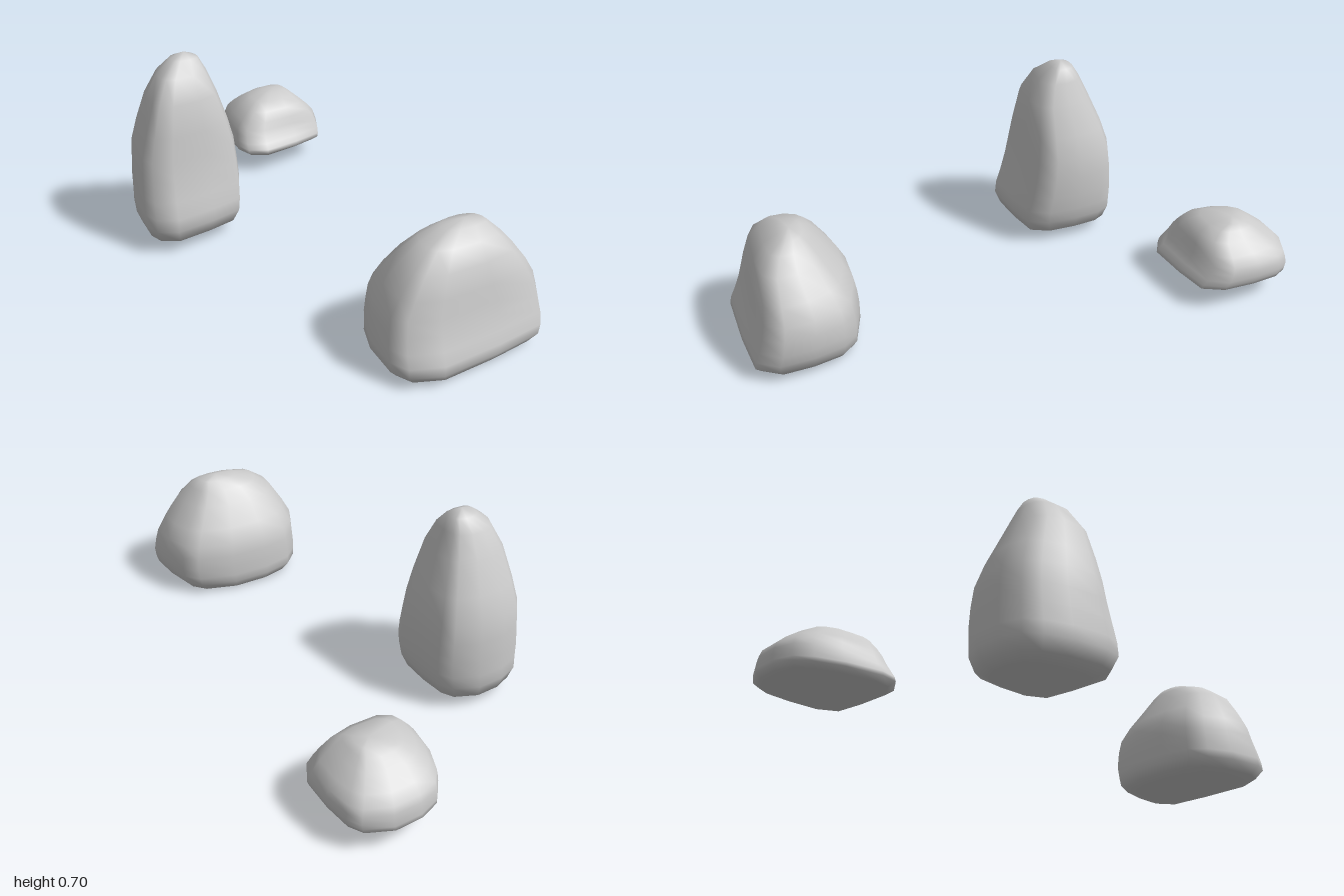
import * as THREE from 'three';

// Plan outline of a boulder in a unit square (x: 0 right .. 1 left, z: 0 back .. 1 front)
const OUTLINE = [
  [0, 0.8], [0, 0.5], [0.05, 0.27], [0.13, 0.13], [0.31, 0.04], [0.56, 0], [0.8, 0.06], [0.89, 0.16],
  [0.96, 0.39], [1, 0.65], [0.93, 0.83], [0.63, 0.92], [0.25, 1], [0.06, 0.93],
];

// Horizontal sections: height, x min, x max, z back, z front
const SECTIONS = [
  [0.0, 0.2, 0.81, 0.15, 0.83],
  [0.027, 0.05, 0.92, 0.04, 0.95],
  [0.1, 0, 0.975, 0, 1],
  [0.17, 0, 0.99, 0, 0.99],
  [0.26, 0, 1, 0, 0.95],
  [0.37, 0.01, 0.99, 0.01, 0.91],
  [0.48, 0.02, 0.97, 0.03, 0.88],
  [0.61, 0.07, 0.91, 0.1, 0.85],
  [0.78, 0.15, 0.81, 0.22, 0.8],
  [0.9, 0.265, 0.73, 0.31, 0.7],
  [0.97, 0.41, 0.67, 0.38, 0.58],
];

// Lofts the outline through the sections, rounding it towards the top
function boulderGeometry() {
  const n = OUTLINE.length;
  const positions = [];
  const index = [];
  for (const [y, x0, x1, z0, z1] of SECTIONS) {
    const round = 0.4 * y * y;
    for (const [u, w] of OUTLINE) {
      const r = Math.hypot(u - 0.5, w - 0.5);
      const s = THREE.MathUtils.lerp(1, 0.5 / r, round);
      const a = 0.5 + (u - 0.5) * s;
      const b = 0.5 + (w - 0.5) * s;
      positions.push(x0 + (x1 - x0) * a, y, z0 + (z1 - z0) * b);
    }
  }
  const bottom = positions.length / 3;
  const top = bottom + 1;
  positions.push(0.5, 0, 0.5, 0.545, 1, 0.48);

  const last = (SECTIONS.length - 1) * n;
  for (let k = 0; k < n; k++) {
    const m = (k + 1) % n;
    for (let i = 0; i < last; i += n) {
      index.push(i + k, i + n + k, i + n + m, i + k, i + n + m, i + m);
    }
    index.push(bottom, k, m, top, last + m, last + k);
  }

  const geometry = new THREE.BufferGeometry();
  geometry.setAttribute('position', new THREE.Float32BufferAttribute(positions, 3));
  geometry.setIndex(index);
  geometry.computeVertexNormals();
  return geometry;
}

export function createModel() {
  const group = new THREE.Group();
  group.name = 'boulders';
  const geometry = boulderGeometry();
  const material = new THREE.MeshStandardMaterial({ color: 0xcccccc, roughness: 0.9 });

  // The same boulder, stretched three ways: name, minimum corner, size
  const boulders = [
    ['wideBoulder', [-0.073, 0, 0.56], [0.585, 0.44, 0.44]],
    ['tallBoulder', [-0.515, 0.027, -0.503], [0.395, 0.674, 0.437]],
    ['lowBoulder', [0.042, 0.06, -1], [0.393, 0.22, 0.437]],
  ];
  for (const [name, corner, size] of boulders) {
    const mesh = new THREE.Mesh(geometry, material);
    mesh.name = name;
    mesh.position.set(...corner);
    mesh.scale.set(...size);
    group.add(mesh);
  }
  return group;
}
